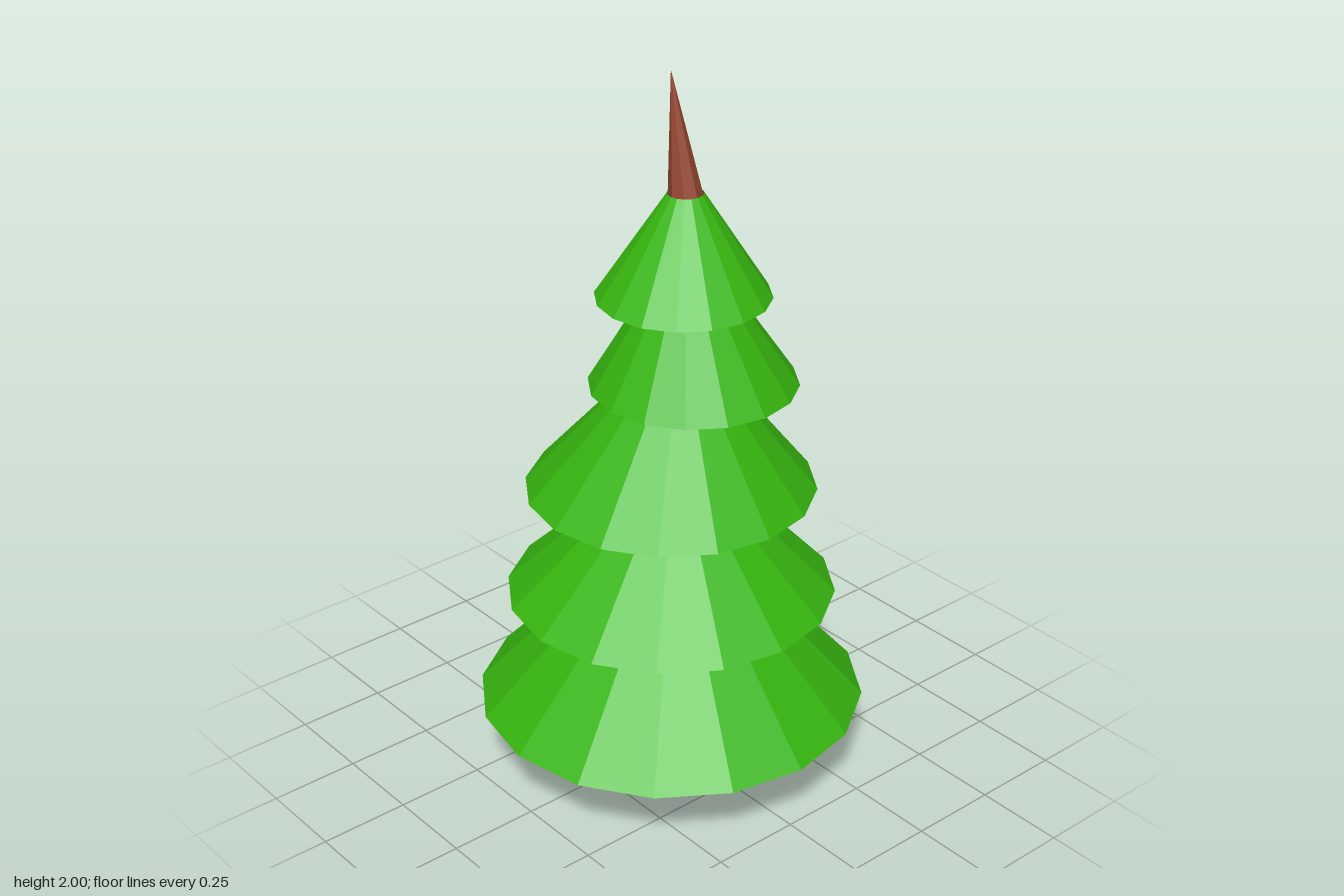
import * as THREE from 'three';

// Skin a stack of rings [y, radius, centreX, centreZ], listed from bottom to top
function loft(rings, sides) {
  const pos = [], index = [];
  for (const [y, r, cx, cz] of rings) {
    for (let i = 0; i < sides; i++) {
      const a = (i / sides) * Math.PI * 2;
      pos.push(cx + r * Math.sin(a), y, cz + r * Math.cos(a));
    }
  }
  for (let k = 0; k < rings.length - 1; k++) {
    for (let i = 0; i < sides; i++) {
      const j = (i + 1) % sides;
      const a = k * sides + i, b = k * sides + j;
      const c = a + sides, d = b + sides;
      if (rings[k][1] > 0) index.push(a, b, d);
      if (rings[k + 1][1] > 0) index.push(a, d, c);
      else if (rings[k][1] === 0) continue;
    }
  }
  const geo = new THREE.BufferGeometry();
  geo.setAttribute('position', new THREE.Float32BufferAttribute(pos, 3));
  geo.setIndex(index);
  const flat = geo.toNonIndexed();
  flat.computeVertexNormals();
  return flat;
}

export function createModel() {
  const tree = new THREE.Group();
  tree.name = 'tree';
  const bark = new THREE.MeshStandardMaterial({ color: 0x93452d, flatShading: true });
  const leaf = new THREE.MeshStandardMaterial({ color: 0x37b60f, flatShading: true, side: THREE.DoubleSide });

  // Eight-sided trunk, slightly crooked, ending in a leaning bare tip
  const trunk = new THREE.Mesh(loft([
    [0, 0, 0, 0],
    [0, 0.19, 0, 0],
    [0.2, 0.16, 0, 0.018],
    [0.52, 0.12, 0, 0.03],
    [0.85, 0.1, 0, 0.018],
    [1.2, 0.08, 0, 0.035],
    [1.5, 0.06, 0, 0.065],
    [1.69, 0.045, 0, 0.057],
    [2, 0, 0, 0],
  ], 8), bark);
  trunk.name = 'trunk';
  tree.add(trunk);

  // Open skirts of foliage: bottom ring and top ring of each
  const tiers = [
    [[0.2, 0.535, 0, 0], [0.65, 0.125, 0, 0.015]],
    [[0.53, 0.45, 0, 0], [0.88, 0.1, 0, 0.02]],
    [[0.845, 0.393, 0, 0], [1.22, 0.085, 0, 0.034]],
    [[1.17, 0.277, 0.018, 0.07], [1.51, 0.062, 0, 0.07]],
    [[1.435, 0.228, -0.03, 0.085], [1.695, 0.047, 0, 0.057]],
  ];
  tiers.forEach((rings, i) => {
    const tier = new THREE.Mesh(loft(rings, 16), leaf);
    tier.name = 'foliageTier' + (i + 1);
    tree.add(tier);
  });
  return tree;
}
